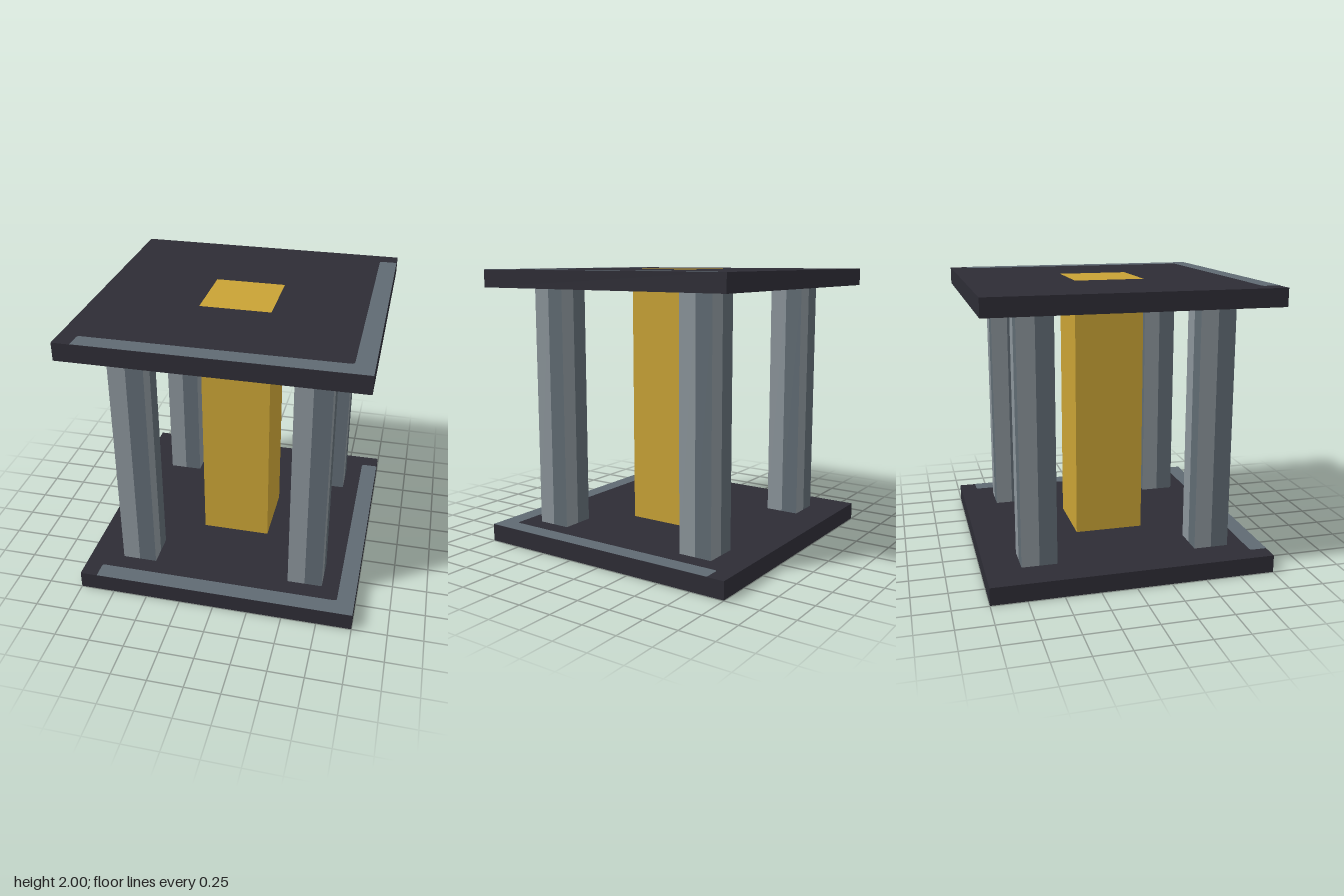
import * as THREE from 'three';

const material = (name, color) => {
  const m = new THREE.MeshStandardMaterial({ color });
  m.name = name;
  return m;
};

export function createModel() {
  const charcoal = material('charcoal', 0x2d2c35);
  const gold = material('gold', 0xc8a235);
  const lightGrey = material('light grey', 0x8a9399);
  const darkGrey = material('dark grey', 0x5f6a72);

  const model = new THREE.Group();
  model.name = 'pillaredFrame';

  const add = (parent, name, geometry, mat, x = 0, y = 0, z = 0) => {
    const mesh = new THREE.Mesh(geometry, mat);
    mesh.name = name;
    mesh.position.set(x, y, z);
    parent.add(mesh);
    return mesh;
  };

  // L-shaped edge trim with softened inner corners
  const a = 0.875, r = 0.022;
  const trim = new THREE.Shape();
  trim.moveTo(-a, -1);
  trim.lineTo(1, -1);
  trim.lineTo(1, a);
  trim.lineTo(a + r, a);
  trim.quadraticCurveTo(a, a, a, a - r);
  trim.lineTo(a, -a + r);
  trim.quadraticCurveTo(a, -a, a - r, -a);
  trim.lineTo(-a + r, -a);
  trim.quadraticCurveTo(-a, -a, -a, -a - r);
  trim.closePath();
  const trimGeometry = new THREE.ShapeGeometry(trim, 4);
  const squareGeometry = new THREE.PlaneGeometry(0.5, 0.5);

  // Two slabs, each with trim and a gold square on both faces
  const plateGeometry = new THREE.BoxGeometry(2, 0.125, 2);
  for (const [name, y] of [['basePlate', 0.0625], ['topPlate', 1.9375]]) {
    const plate = new THREE.Group();
    plate.name = name;
    plate.position.y = y;
    model.add(plate);
    add(plate, 'slab', plateGeometry, charcoal);
    for (const side of [1, -1]) {
      const h = side * 0.0645;
      add(plate, 'edgeTrim', trimGeometry, darkGrey, 0, h).rotation.x = -side * Math.PI / 2;
      add(plate, 'goldInlay', squareGeometry, gold, 0, h).rotation.x = -side * Math.PI / 2;
    }
  }

  // Central column
  add(model, 'centralColumn', new THREE.BoxGeometry(0.5, 1.75, 0.5), gold, 0, 1, 0);

  // Corner pillars: each side face is half light, half dark
  const pillarGeometry = new THREE.BoxGeometry(0.25, 1.75, 0.25, 2, 1, 2);
  pillarGeometry.clearGroups();
  for (const start of [0, 12, 72, 84]) {
    pillarGeometry.addGroup(start, 6, 0);
    pillarGeometry.addGroup(start + 6, 6, 1);
  }
  pillarGeometry.addGroup(24, 48, 1); // end caps
  for (const x of [-0.625, 0.625]) {
    for (const z of [-0.625, 0.625]) {
      add(model, 'cornerPillar', pillarGeometry, [lightGrey, darkGrey], x, 1, z);
    }
  }

  return model;
}
